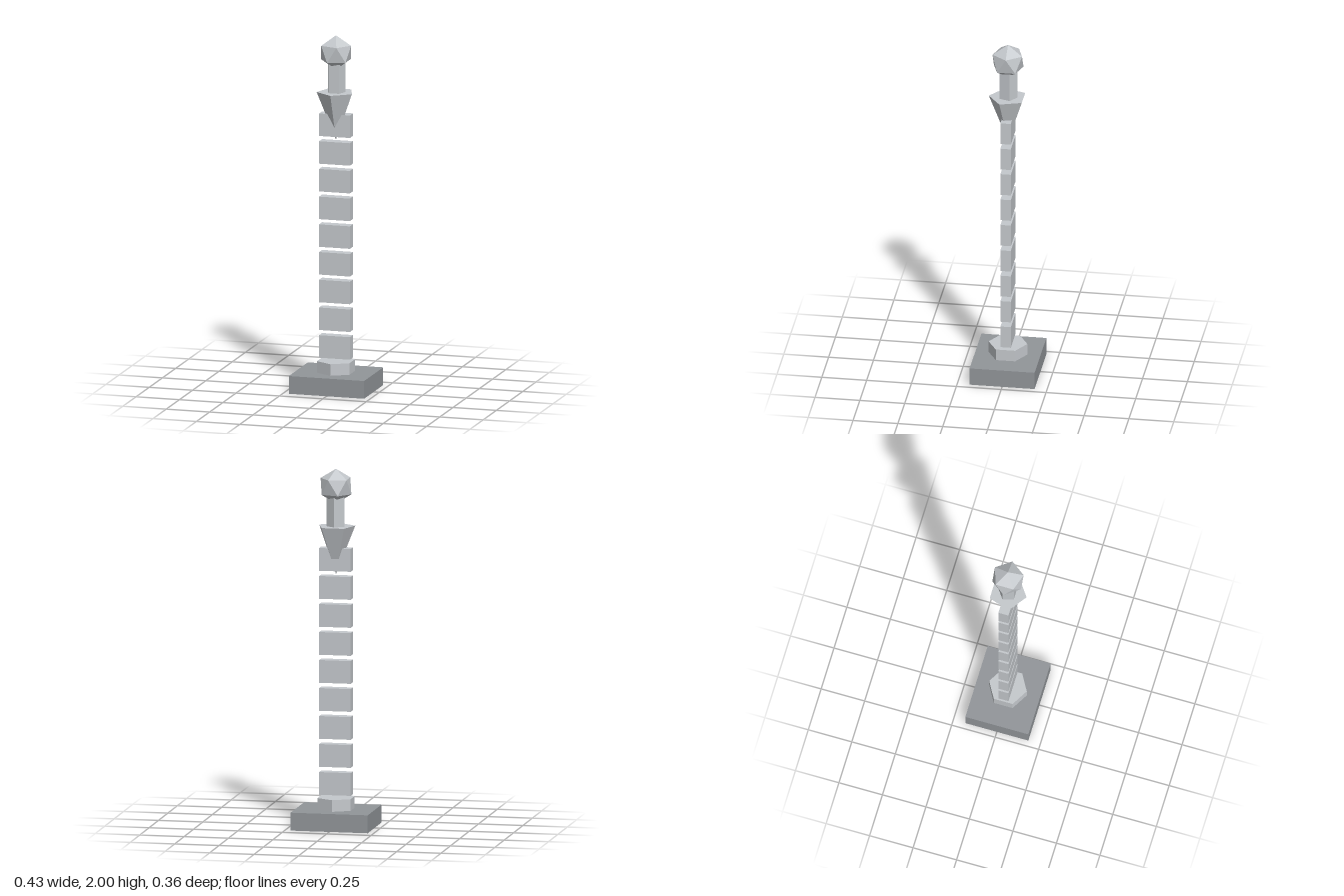
import * as THREE from 'three';

export function createModel() {
  const model = new THREE.Group();
  model.name = 'segmentedPillar';

  const paleSteel = new THREE.MeshStandardMaterial({ color: 0xc4c8cc, flatShading: true });
  paleSteel.name = 'pale steel';
  const darkSteel = new THREE.MeshStandardMaterial({ color: 0x919599, flatShading: true });
  darkSteel.name = 'dark steel';

  function add(name, geometry, material, y) {
    const mesh = new THREE.Mesh(geometry, material);
    mesh.name = name;
    mesh.position.y = y;
    model.add(mesh);
    return mesh;
  }

  // Base slab and hexagonal collar
  add('base', new THREE.BoxGeometry(0.434, 0.1, 0.362), darkSteel, 0.05);
  add('collar', new THREE.CylinderGeometry(0.108, 0.108, 0.065, 6), paleSteel, 0.1325);

  // Stack of nine floating blade segments
  const segment = new THREE.BoxGeometry(0.178, 0.127, 0.058);
  for (let i = 0; i < 9; i++) {
    add(`bladeSegment${i + 1}`, segment, paleSteel, 0.243 + i * 0.1565);
  }

  // Inverted five-sided guard, its tip sunk in the top segment
  add('guard', new THREE.CylinderGeometry(0.107, 0, 0.27, 5), paleSteel, 1.545);

  // Five-sided grip with a flat side to the front
  const grip = add('grip', new THREE.CylinderGeometry(0.053, 0.053, 0.2, 5), paleSteel, 1.78);
  grip.rotation.y = Math.PI;

  // Faceted pommel, turned to stand on one corner
  const pommel = new THREE.IcosahedronGeometry(0.097, 0);
  pommel.rotateZ(-Math.atan(2 / (1 + Math.sqrt(5))));
  add('pommel', pommel, paleSteel, 1.903);

  return model;
}
